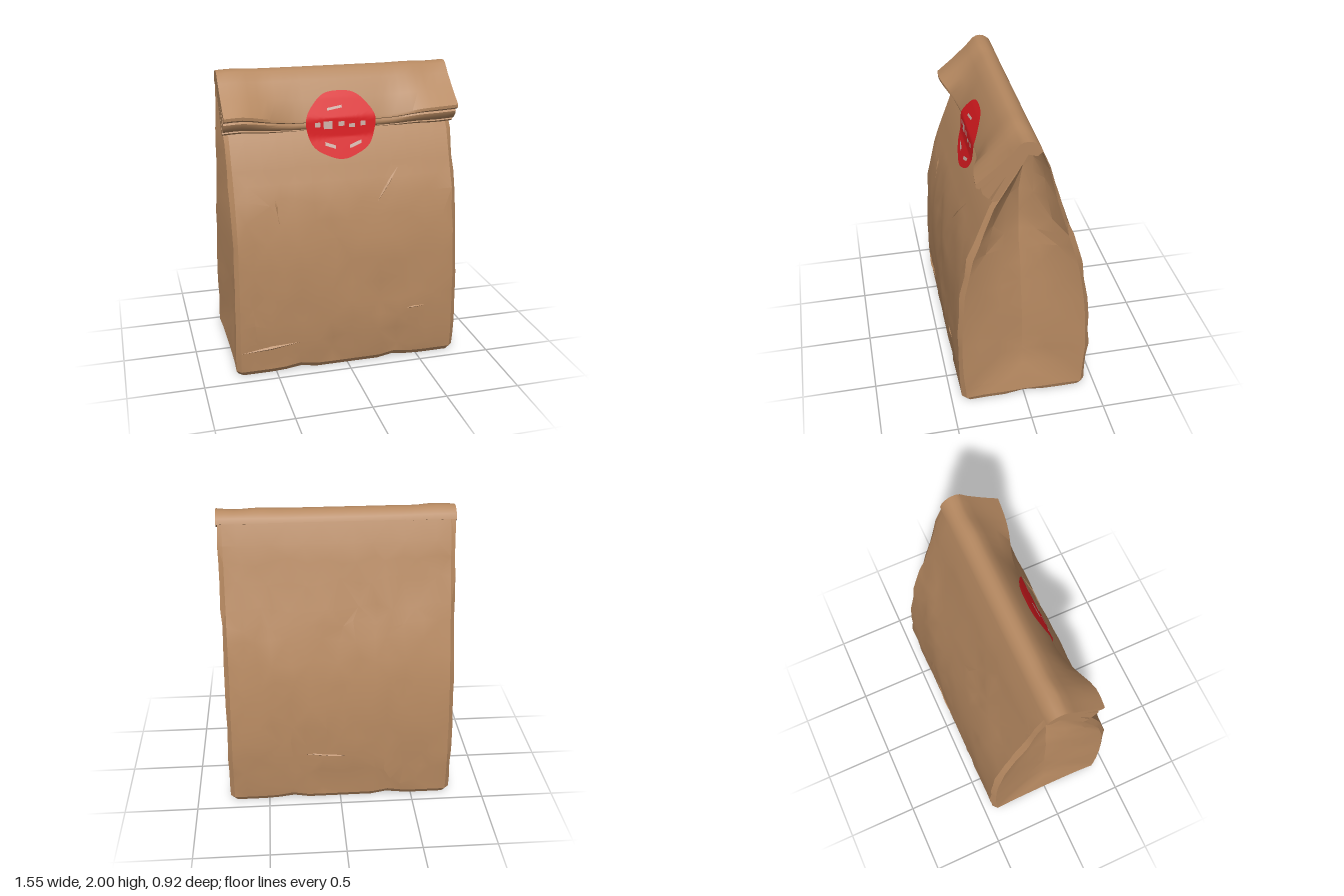
import * as THREE from 'three';
import { toCreasedNormals } from 'three/addons/utils/BufferGeometryUtils.js';

const kraft = new THREE.MeshStandardMaterial({ color: 0xb58860, side: THREE.DoubleSide });
kraft.name = 'kraft paper';
const red = new THREE.MeshStandardMaterial({ color: 0xdb1b20, side: THREE.DoubleSide });
red.name = 'sticker red';
const pale = new THREE.MeshStandardMaterial({ color: 0xcdb0a6, side: THREE.DoubleSide });
pale.name = 'worn print';

// Seeded noise for the crumpled paper
let seed = 11;
const jitter = (a) => {
  seed = (seed * 16807) % 2147483647;
  return (seed / 2147483647 * 2 - 1) * a;
};
const smooth = THREE.MathUtils.smoothstep;

// Linear lookup in a list of [key, value]
function lookup(table, k) {
  for (let i = 1; i < table.length; i++) {
    const [k0, v0] = table[i - 1], [k1, v1] = table[i];
    if (k <= k1) return v0 + (v1 - v0) * Math.max(0, (k - k0) / (k1 - k0));
  }
  return table[table.length - 1][1];
}

// Side profile of the bag: [height, z]
const FRONT = [[0, 0.405], [0.035, 0.43], [0.3, 0.452], [0.6, 0.447], [0.92, 0.422],
  [1.2, 0.365], [1.4, 0.29], [1.57, 0.225], [1.7, 0.14], [1.8, 0.078], [1.93, 0]];
const BACK = [[0, -0.41], [0.035, -0.432], [0.36, -0.447], [0.65, -0.436], [1, -0.385],
  [1.24, -0.315], [1.4, -0.262], [1.6, -0.195], [1.8, -0.138], [1.93, -0.082]];
const WIDTH = [[0, 0.755], [0.04, 0.775], [0.3, 0.772], [1, 0.763], [1.93, 0.768]];
const GUSSET = [[0.36, 0.07], [0.65, 0.08], [1, 0.105], [1.25, 0.15], [1.6, 0.205], [1.93, 0.24]];
const APEX = 0.36;

function bagBody() {
  const rows = [0, 0.035, 0.12, 0.24, 0.36, 0.48, 0.6, 0.76, 0.92, 1.06, 1.2, 1.3, 1.4, 1.57, 1.7, 1.8, 1.93];
  const cols = [-1, -0.96, -0.84, -0.7, -0.57, -0.43, -0.29, -0.14, 0, 0.14, 0.29, 0.43, 0.57, 0.7, 0.84, 0.96, 1];
  const sides = [0.667, 0.333, 0, -0.333, -0.667];
  const pos = [], idx = [];

  // Front or back panel point
  const panel = (f, y, s) => {
    const edge = Math.abs(f) === 1;
    const loose = !edge && y > 0.05 && (s > 0 ? y < 1.3 : y < 1.75);
    if (loose && Math.abs(f) < 0.9) { f += jitter(0.04); y += jitter(0.028); }
    const zf = lookup(FRONT, y), zb = lookup(BACK, y);
    const w = lookup(WIDTH, y);
    let z = s > 0 ? zf : zb;
    if (edge) z -= s * Math.min(0.03, (zf - zb) * 0.05);
    if (loose) z += jitter(0.008);
    const x = f * w + (edge && y > 0.05 ? jitter(0.005) : 0);
    if (y < 0.05) y += 0.022 * Math.max(0, 1 - Math.abs(Math.abs(x) - 0.34) / 0.12);
    pos.push(x, y, z);
  };
  // Folded-in side point, with the flat triangle at the base
  const gusset = (t, y, s) => {
    const zf = lookup(FRONT, y), zb = lookup(BACK, y), g = lookup(GUSSET, y);
    const inset = Math.min(g * Math.min(1, y / APEX), g * (1 - Math.abs(t)));
    const rough = y > APEX && t !== 0 ? 0.009 : 0.002;
    pos.push(s * (lookup(WIDTH, y) - inset + jitter(rough)), y + (y < 0.01 && t === 0 ? 0.02 : 0),
      (zf + zb) / 2 + t * (zf - zb) / 2);
  };

  for (const y of rows) {
    cols.forEach((f) => panel(f, y, 1));
    sides.forEach((t) => gusset(t, y, 1));
    cols.forEach((f) => panel(-f, y, -1));
    sides.forEach((t) => gusset(-t, y, -1));
  }
  const half = cols.length + sides.length, n = 2 * half;
  for (let i = 0; i < rows.length - 1; i++) {
    for (let j = 0; j < n; j++) {
      const a = i * n + j, b = i * n + (j + 1) % n, c = b + n, d = a + n;
      // Diagonals follow the side triangle, and alternate elsewhere
      const m = j % half - cols.length + 1;
      const rising = m >= 0 && rows[i] < APEX ? m < 3 : (i + j) % 2 === 1;
      if (rising) idx.push(a, b, c, a, c, d);
      else idx.push(a, b, d, b, c, d);
    }
  }
  // Base panel
  const centre = pos.length / 3;
  pos.push(0, 0.02, 0);
  for (let j = 0; j < n; j++) idx.push(centre, (j + 1) % n, j);

  const geo = new THREE.BufferGeometry();
  geo.setAttribute('position', new THREE.Float32BufferAttribute(pos, 3));
  geo.setIndex(idx);
  return toCreasedNormals(geo, 0.3);
}

// The rolled flap is squeezed against the bag near the middle
function pinch(z, y, amount) {
  const u = 0.527 * z - 0.85 * (y - 1.91);
  const n = 0.85 * z + 0.527 * (y - 1.91);
  const k = 1 - 0.6 * amount * smooth(u, 0, 0.3);
  return [0.527 * u + 0.85 * n * k, 1.91 - 0.85 * u + 0.527 * n * k];
}
const FLAP_OUTER = [[0.05, 1.985], [0.1, 1.93], [0.2, 1.84], [0.31, 1.75]];

function foldedFlap() {
  const profile = [
    [-0.084, 1.928], [-0.07, 1.96], [-0.046, 1.982], [-0.022, 1.996], [0, 2], [0.025, 1.997],
    ...FLAP_OUTER, [0.308, 1.73], [0.29, 1.718],
    [0.17, 1.815], [0.275, 1.7], [0.268, 1.68], [0.245, 1.655], [0.232, 1.645],
    [0.13, 1.79], [0.218, 1.632], [0.205, 1.62], [0.18, 1.62],
    [0.1, 1.757], [0, 1.915], [-0.05, 1.9],
  ];
  const shape = new THREE.Shape(profile.map(([z, y]) => new THREE.Vector2(z, y)));
  const geo = new THREE.ExtrudeGeometry(shape, { depth: 1.55, steps: 26, bevelEnabled: false });
  geo.rotateY(-Math.PI / 2).translate(0.775, 0, 0);
  const p = geo.attributes.position;
  for (let i = 0; i < p.count; i++) {
    const x = p.getX(i);
    const amount = 1 - smooth(Math.abs(x), 0.28, 0.7);
    const [z, y] = pinch(p.getZ(i), p.getY(i), amount);
    const wave = (1 - amount) * 0.005 * Math.sin(x * 17) * smooth(z, -0.08, 0);
    p.setXYZ(i, x, Math.min(2, y + wave - 0.004 * amount), z + wave);
  }
  geo.deleteAttribute('uv');
  return toCreasedNormals(geo, 0.6);
}

// Sharp little fold standing out of a panel, between two [x, y] points
function wrinkle(table, [x0, y0], [x1, y1]) {
  const a = new THREE.Vector3(x0, y0, lookup(table, y0));
  const b = new THREE.Vector3(x1, y1, lookup(table, y1));
  const dir = b.clone().sub(a);
  const geo = new THREE.OctahedronGeometry(1).scale(dir.length() / 2, 0.013, 0.013);
  geo.applyQuaternion(new THREE.Quaternion().setFromUnitVectors(new THREE.Vector3(1, 0, 0), dir.normalize()));
  const mid = a.add(b).multiplyScalar(0.5);
  return geo.translate(mid.x, mid.y, mid.z);
}

// Height to z over the squeezed flap and the front panel
const COVER = [[1.4, 0.29], [1.57, 0.23], [1.62, 0.225],
  ...FLAP_OUTER.map(([z, y]) => pinch(z, y, 1).reverse()).reverse()];

// Thin sheet laid on the front: at(u, v) gives [x, y]
function sheet(at, nu, nv, lift) {
  const geo = new THREE.PlaneGeometry(1, 1, nu, nv);
  const p = geo.attributes.position;
  for (let i = 0; i < p.count; i++) {
    const [x, y] = at(p.getX(i) + 0.5, p.getY(i) + 0.5);
    p.setXYZ(i, x, y, lookup(COVER, y) + lift);
  }
  geo.computeVertexNormals();
  return geo;
}

export function createModel() {
  const group = new THREE.Group();
  group.name = 'paperBag';
  const add = (name, geo, mat) => {
    const mesh = new THREE.Mesh(geo, mat);
    mesh.name = name;
    group.add(mesh);
  };
  add('bagBody', bagBody(), kraft);
  add('foldedFlap', foldedFlap(), kraft);

  [[[-0.74, 0.18], [-0.34, 0.22]], [[0.35, 0.385], [0.58, 0.395]], [[0.21, 1.15], [0.37, 1.36]],
    [[-0.48, 1.28], [-0.455, 1.05]]]
    .forEach(([a, b]) => add('frontWrinkle', wrinkle(FRONT, a, b), kraft));
  add('backWrinkle', wrinkle(BACK, [-0.1, 0.36], [0.25, 0.39]), kraft);

  // Round seal with a slightly uneven rim
  add('sticker', sheet((u, v) => {
    const a = -u * Math.PI * 2, r = (1 - v) * (1 + 0.015 * Math.sin(a * 7));
    return [-0.002 + 0.234 * r * Math.cos(a), 1.647 + 0.213 * r * Math.sin(a)];
  }, 56, 24, 0.009), red);

  // Worn plain marks: [x, y, width, height, slope]
  const marks = [
    [-0.04, 1.755, 0.1, 0.016, 0.15], [-0.16, 1.655, 0.035, 0.03, 0], [-0.09, 1.65, 0.06, 0.05, 0],
    [0, 1.655, 0.04, 0.03, 0], [0.07, 1.64, 0.04, 0.025, 0], [0.145, 1.65, 0.035, 0.03, 0],
    [-0.08, 1.52, 0.07, 0.022, -0.35], [0.09, 1.52, 0.08, 0.022, 0.35],
  ];
  marks.forEach(([cx, cy, w, h, slope]) => add('wornMark', sheet(
    (u, v) => [cx + (u - 0.5) * w, cy + (v - 0.5) * h + (u - 0.5) * w * slope], 4, 6, 0.013), pale));
  return group;
}
